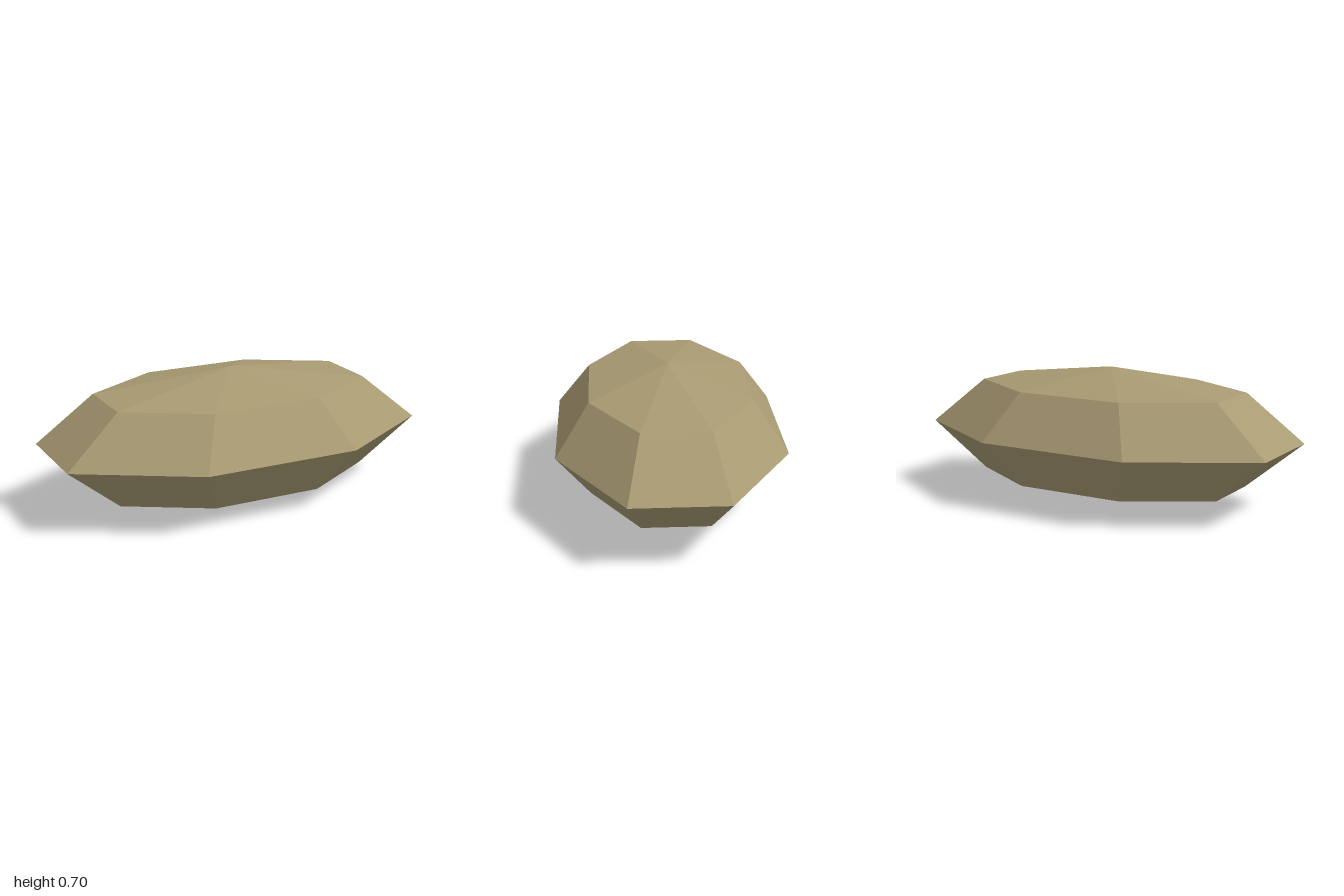
import * as THREE from 'three';

export function createModel() {
  const group = new THREE.Group();
  group.name = 'facetedStone';

  const stoneMaterial = new THREE.MeshStandardMaterial({ color: 0xa89a72, flatShading: true });
  stoneMaterial.name = 'sandstone';

  // Eight-sided, four-band ball, turned so flat sides face the axes, then squashed
  const geometry = new THREE.SphereGeometry(1, 8, 4);
  geometry.rotateY(Math.PI / 8);
  geometry.scale(1.082, 0.35, 0.634);
  geometry.translate(0, 0.35, 0);

  const stone = new THREE.Mesh(geometry, stoneMaterial);
  stone.name = 'stone';
  group.add(stone);
  return group;
}
